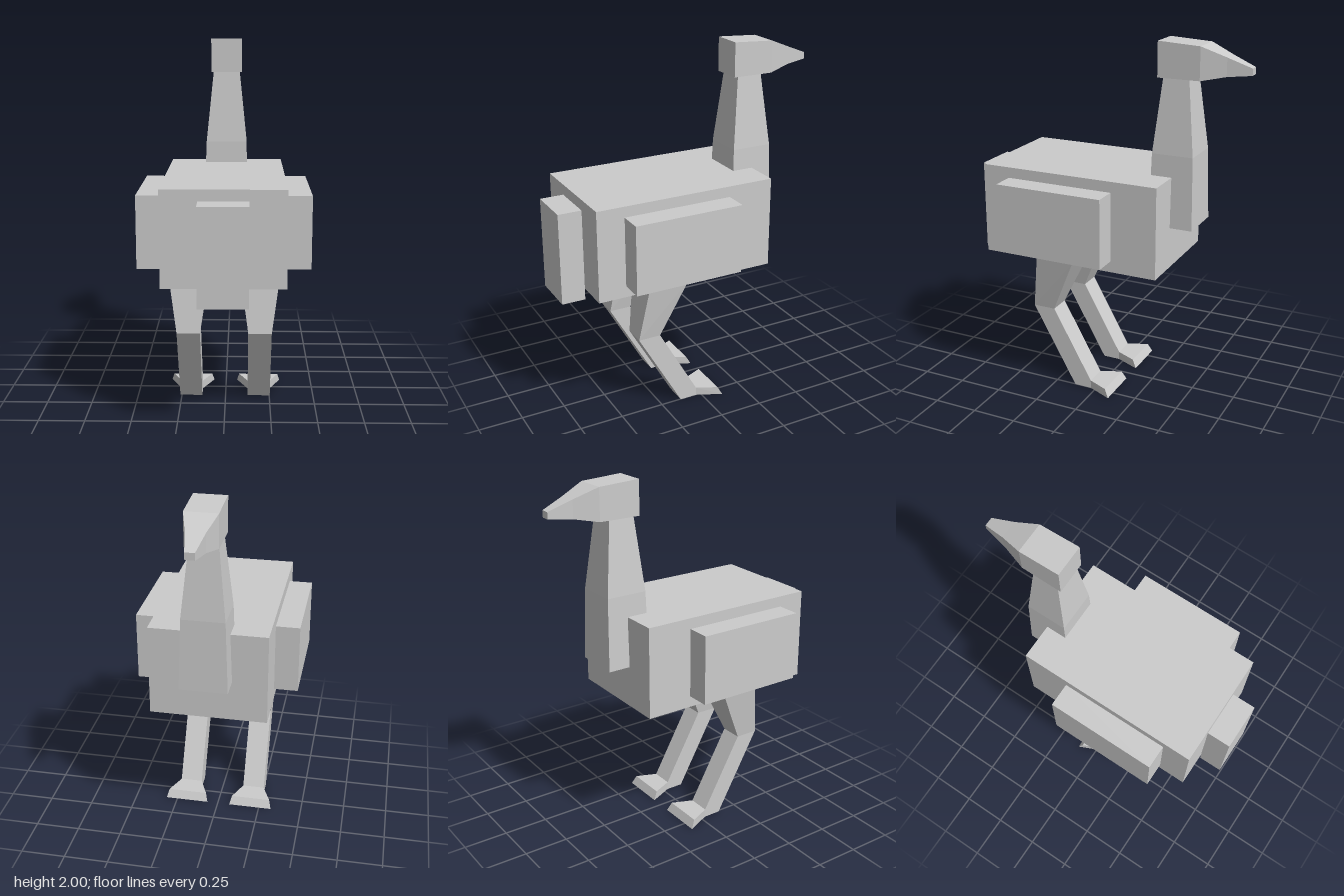
import * as THREE from 'three';

const material = new THREE.MeshStandardMaterial({ color: 0xcccccc, flatShading: true });

function addMesh(parent, name, geometry, x = 0, y = 0, z = 0) {
  const mesh = new THREE.Mesh(geometry, material);
  mesh.name = name;
  mesh.position.set(x, y, z);
  parent.add(mesh);
  return mesh;
}

// Box given by its limits on each axis
function addBox(parent, name, [x0, x1], [y0, y1], [z0, z1]) {
  const geometry = new THREE.BoxGeometry(x1 - x0, y1 - y0, z1 - z0);
  return addMesh(parent, name, geometry, (x0 + x1) / 2, (y0 + y1) / 2, (z0 + z1) / 2);
}

// Closed four-sided loft. Each section is two edges running across x:
// [z, y, halfWidth, z, y, halfWidth]
function loft(sections) {
  const rings = sections.map(([z1, y1, w1, z2, y2, w2]) => [
    [-w1, y1, z1], [w1, y1, z1], [w2, y2, z2], [-w2, y2, z2],
  ]);
  const positions = [];
  const quad = (a, b, c, d) => positions.push(...a, ...b, ...c, ...a, ...c, ...d);
  for (let r = 0; r < rings.length - 1; r++) {
    for (let i = 0; i < 4; i++) {
      const j = (i + 1) % 4;
      quad(rings[r][i], rings[r][j], rings[r + 1][j], rings[r + 1][i]);
    }
  }
  const [a, b, c, d] = rings[0];
  quad(d, c, b, a);
  quad(...rings[rings.length - 1]);
  const geometry = new THREE.BufferGeometry();
  geometry.setAttribute('position', new THREE.Float32BufferAttribute(positions, 3));
  geometry.computeVertexNormals();
  return geometry;
}

export function createModel() {
  const model = new THREE.Group();
  model.name = 'bird';

  addBox(model, 'body', [-0.323, 0.32], [0.78, 1.29], [-0.39, 0.643]);
  addBox(model, 'tail', [-0.13, 0.127], [0.716, 1.23], [0.643, 0.775]);

  // Neck, running down over the chest
  addMesh(model, 'neck', loft([
    [-0.265, 1.01, 0.13, -0.515, 1.01, 0.13],
    [-0.275, 1.41, 0.116, -0.505, 1.41, 0.116],
    [-0.315, 1.81, 0.075, -0.46, 1.81, 0.075],
  ]), -0.002);

  // Head tapering into the beak
  addMesh(model, 'head', loft([
    [-0.287, 2.0, 0.088, -0.287, 1.81, 0.088],
    [-0.52, 1.987, 0.087, -0.52, 1.81, 0.087],
    [-0.65, 1.935, 0.05, -0.65, 1.836, 0.05],
    [-0.778, 1.885, 0.025, -0.778, 1.848, 0.025],
  ]), -0.002);

  // Leg from toe, through ankle and knee, to hip
  const leg = loft([
    [-0.11, 0, 0.126, -0.085, 0.046, 0.113],
    [0.03, 0, 0.063, 0.03, 0.048, 0.063],
    [0.13, 0, 0.063, 0.03, 0.048, 0.063],
    [0.388, 0.457, 0.063, 0.26, 0.457, 0.063],
    [0.34, 0.78, 0.108, 0.112, 0.78, 0.116],
  ]);

  for (const [side, s] of [['left', 1], ['right', -1]]) {
    addMesh(model, `${side}Leg`, leg, s * 0.193 - 0.003);
    const xs = [s * 0.322 - 0.002, s * 0.454 - 0.002].sort((a, b) => a - b);
    addBox(model, `${side}Wing`, xs, [0.843, 1.23], [-0.13, 0.488]);
  }
  return model;
}
